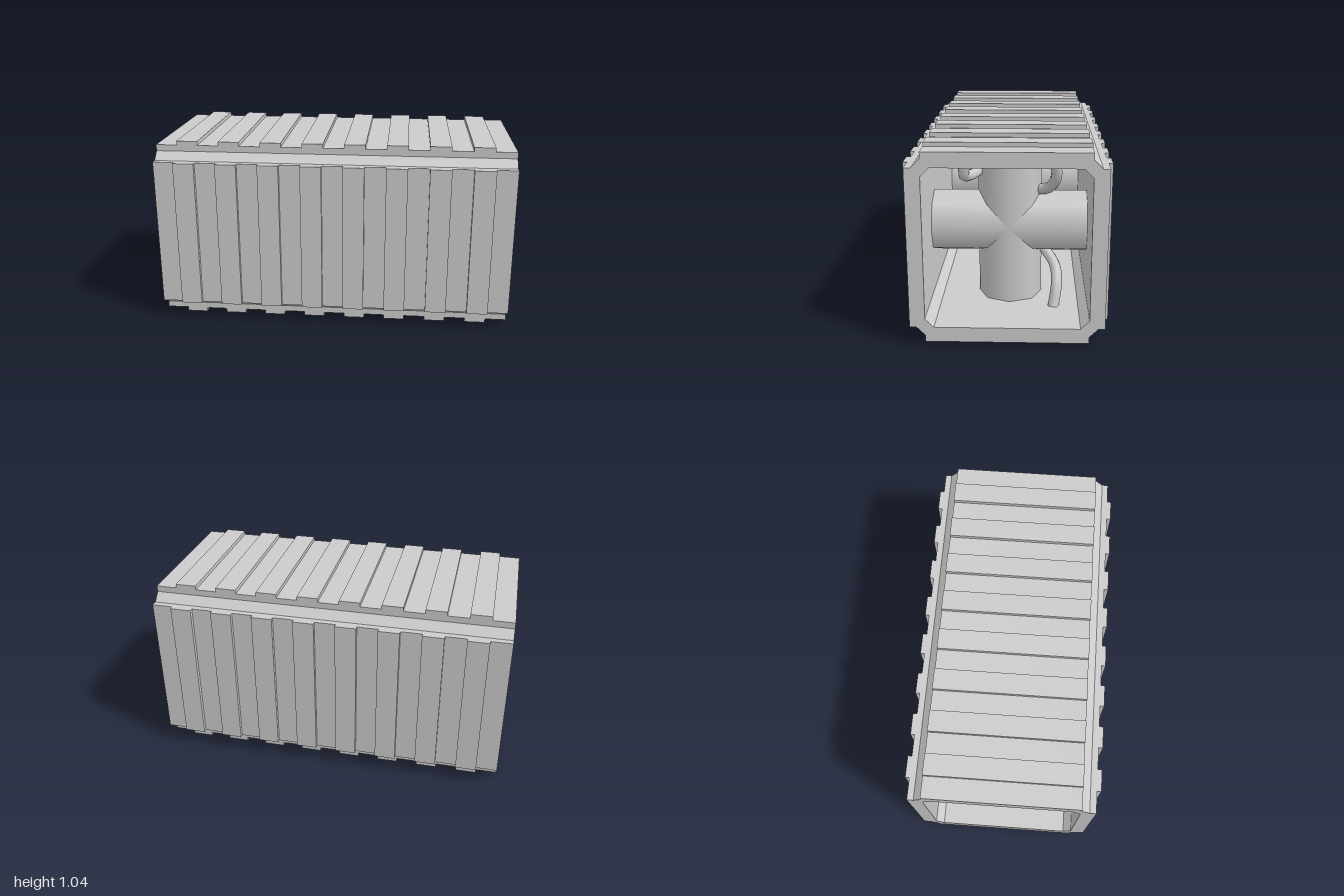
import * as THREE from 'three';

const CY = 0.5225;   // height of the tunnel axis
const INNER = 0.42;  // half width of the opening
const OUTER = 0.5;   // half width of the shell without ribs
const RIB = 0.0225;  // rib height
const CUT = 0.045;   // corner chamfer

const mat = new THREE.MeshStandardMaterial({ color: 0xcccccc });

function add(parent, name, geometry) {
  const mesh = new THREE.Mesh(geometry, mat);
  mesh.name = name;
  parent.add(mesh);
  return mesh;
}

// Repeats one corner's points around the four quarter turns
function ring(corner) {
  const pts = [];
  for (let i = 0; i < 4; i++) {
    for (const [x, y] of corner) {
      const p = new THREE.Vector2(x, y);
      for (let k = 0; k < i; k++) p.set(-p.y, p.x);
      pts.push(p);
    }
  }
  return pts;
}

export function createModel() {
  const model = new THREE.Group();
  model.name = 'tunnelSection';

  // Square shell with notched outer corners and chamfered inner corners
  const shape = new THREE.Shape(ring([
    [OUTER, INNER], [INNER + CUT, INNER], [INNER, INNER + CUT], [INNER, OUTER],
  ]));
  shape.holes.push(new THREE.Path(ring([[INNER, INNER - CUT], [INNER - CUT, INNER]])));
  const shellGeo = new THREE.ExtrudeGeometry(shape, { depth: 2, bevelEnabled: false });
  shellGeo.translate(0, 0, -1).rotateY(Math.PI / 2);
  add(model, 'shell', shellGeo).position.y = CY;

  // Eight evenly spaced ribs on each of the four sides
  const pitch = 2 / 17;
  const ribGeo = new THREE.BoxGeometry(pitch, RIB * 2, INNER * 2);
  ribGeo.translate(0, OUTER, 0);
  for (let side = 0; side < 4; side++) {
    const ribs = new THREE.Group();
    ribs.name = 'ribs' + ['Top', 'Front', 'Bottom', 'Back'][side];
    ribs.position.y = CY;
    ribs.rotation.x = side * Math.PI / 2;
    for (let i = 0; i < 8; i++) add(ribs, 'rib', ribGeo).position.x = (2 * i - 7) * pitch;
    model.add(ribs);
  }

  // Two crosses of eight-sided pipes spanning the opening
  const pipeGeo = new THREE.CylinderGeometry(0.175, 0.175, INNER * 2 + 0.02, 8, 1, true);
  for (const x of [-0.5, 0.5]) {
    const cross = new THREE.Group();
    cross.name = 'pipeCross';
    cross.position.set(x, CY, 0);
    add(cross, 'verticalPipe', pipeGeo);
    add(cross, 'crossPipe', pipeGeo).rotation.x = Math.PI / 2;
    model.add(cross);
  }

  // Thin bent hoses running from the pipes to the roof and floor
  const hoses = {
    frontRoofHose: [[0.5, 0.83, 0.14], [0.61, 0.805, 0.215], [0.68, 0.83, 0.24], [0.7, 0.95, 0.215]],
    backRoofHose: [[0.5, 0.7, -0.14], [0.58, 0.735, -0.215], [0.66, 0.82, -0.25], [0.71, 0.95, -0.235]],
    backFloorHose: [[0.5, 0.36, -0.19], [0.59, 0.29, -0.25], [0.67, 0.21, -0.258], [0.715, 0.095, -0.24]],
  };
  for (const [name, pts] of Object.entries(hoses)) {
    const curve = new THREE.CatmullRomCurve3(pts.map((p) => new THREE.Vector3(...p)));
    add(model, name, new THREE.TubeGeometry(curve, 10, 0.03, 8));
  }

  return model;
}
